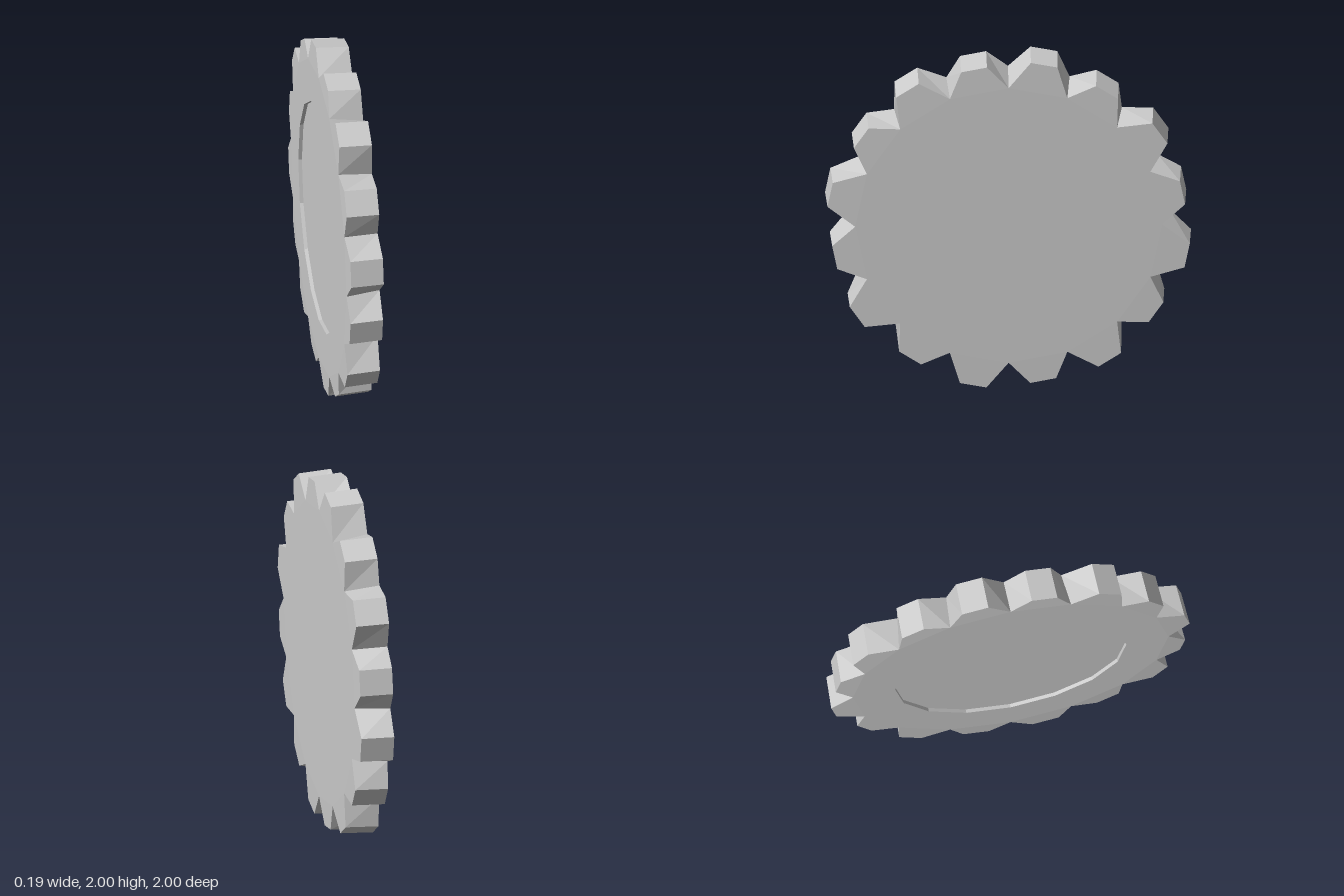
import * as THREE from 'three';

const TEETH = 16;
const STEP = 360 / TEETH;

// Point on a circle about the x axis, centred at height 1; 0 degrees is +z, 90 is up
function polar(x, r, deg) {
  const a = THREE.MathUtils.degToRad(deg);
  return new THREE.Vector3(x, 1 + r * Math.sin(a), r * Math.cos(a));
}

// Collects polygons given counter-clockwise and turns them into a flat-shaded mesh
function faceBuilder() {
  const positions = [];
  return {
    face(...corners) {
      for (let i = 1; i < corners.length - 1; i++) {
        for (const p of [corners[0], corners[i], corners[i + 1]]) positions.push(p.x, p.y, p.z);
      }
    },
    mesh(name) {
      const geometry = new THREE.BufferGeometry();
      geometry.setAttribute('position', new THREE.Float32BufferAttribute(positions, 3));
      geometry.computeVertexNormals();
      const mesh = new THREE.Mesh(geometry, new THREE.MeshStandardMaterial({ color: 0xcccccc, flatShading: true }));
      mesh.name = name;
      return mesh;
    },
  };
}

// One side's outline of tooth i: valley, two tip corners, next valley
function toothOutline(i, valleyX, valleyR, tipX, tipScale) {
  const start = i * STEP;
  const tipR = (i % 2 === 0 ? 1.007 : 0.981) * tipScale; // long and short teeth alternate
  return [
    polar(valleyX, valleyR, start),
    polar(tipX, tipR, start + 7),
    polar(tipX, tipR, start + 15.5),
    polar(valleyX, valleyR, start + STEP),
  ];
}

export function createModel() {
  const group = new THREE.Group();
  group.name = 'gearWheel';

  const front = faceBuilder(), back = faceBuilder(), teeth = faceBuilder(), recess = faceBuilder();
  const recessR = 0.645, rimX = -0.098, floorX = -0.078, frontX = 0.093;

  for (let i = 0; i < TEETH; i++) {
    const a0 = i * STEP, a1 = a0 + STEP;
    const b = toothOutline(i, rimX, 0.88, -0.092, 1);
    const f = toothOutline(i, frontX, 0.838, 0.09, 0.99);

    // Plain disc on the +x side
    front.face(polar(frontX, 0, 0), f[3], f[0]);

    // Ring around the recess on the -x side
    const rim0 = polar(rimX, recessR, a0), rim1 = polar(rimX, recessR, a1);
    back.face(rim0, b[0], b[3], rim1);

    // Shallow recess: wall and floor
    const floor0 = polar(floorX, recessR, a0), floor1 = polar(floorX, recessR, a1);
    recess.face(floor0, rim0, rim1, floor1);
    recess.face(polar(floorX, 0, 0), floor0, floor1);

    // Tooth: both ends, then flank, tip, flank
    teeth.face(b[0], b[1], b[2], b[3]);
    teeth.face(f[3], f[2], f[1], f[0]);
    for (let k = 0; k < 3; k++) teeth.face(b[k], f[k], f[k + 1], b[k + 1]);
  }

  group.add(front.mesh('plainDisc'), back.mesh('backRing'), recess.mesh('backRecess'), teeth.mesh('gearTeeth'));
  return group;
}
